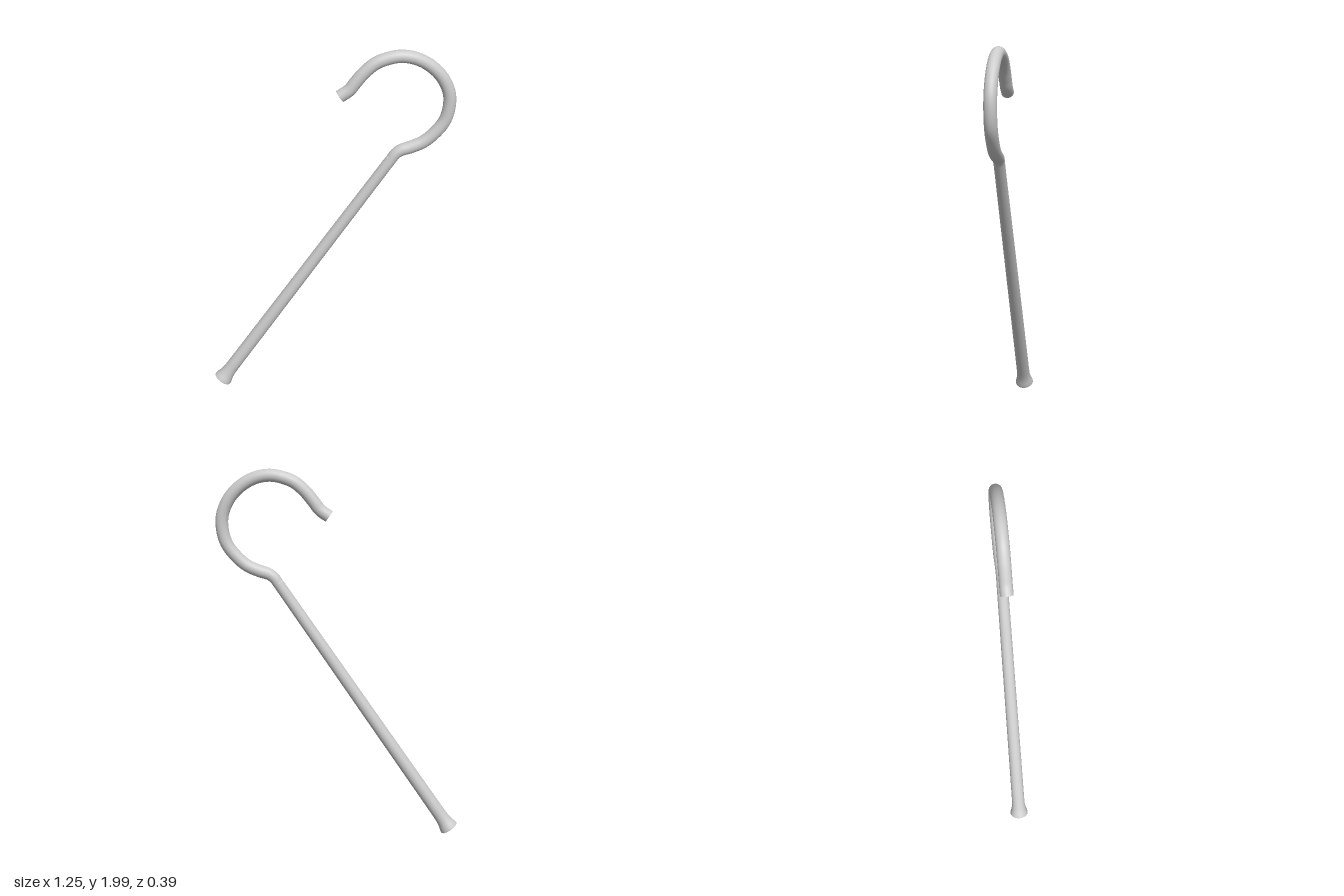
import * as THREE from 'three';

const YAW = 0.26; // the whole cane lies in one upright plane, turned about y
const material = new THREE.MeshStandardMaterial({ color: 0xcccccc });

// point of the cane's plane, given by its frontal x and height
const inPlane = (x, y) => new THREE.Vector3(x / Math.cos(YAW), y, 0);

function addMesh(parent, name, geometry) {
  const mesh = new THREE.Mesh(geometry, material);
  mesh.name = name;
  parent.add(mesh);
  return mesh;
}

// turns a mesh so that its local axis follows a direction
function aim(mesh, position, axis, direction) {
  mesh.position.copy(position);
  mesh.quaternion.setFromUnitVectors(axis, direction);
}

export function createModel() {
  const group = new THREE.Group();
  group.name = 'crookedCane';
  const cane = new THREE.Group();
  cane.name = 'cane';
  cane.rotation.y = YAW;
  cane.position.z = -0.008;
  group.add(cane);

  const up = new THREE.Vector3(0, 1, 0);
  const foot = inPlane(-0.585, 0.033);
  const neck = inPlane(0.309, 1.397);
  const along = neck.clone().sub(foot);
  const length = along.length();
  along.normalize();

  // tapering shaft with a flared foot
  const flare = [[0.05, 0], [0.05, 0.008], [0.045, 0.025], [0.04, 0.045], [0.037, 0.07], [0.036, 0.1], [0.029, length]];
  const profile = flare.map(([r, y]) => new THREE.Vector2(r, y));
  const shaft = addMesh(cane, 'shaft', new THREE.LatheGeometry(profile, 32));
  aim(shaft, foot, up, along);

  // flat sole
  const sole = addMesh(cane, 'sole', new THREE.CircleGeometry(0.05, 32));
  aim(sole, foot, new THREE.Vector3(0, 0, 1), along.clone().negate());

  // crook: bends out of the shaft, sweeps round and curls up at the tip
  const path = new THREE.CatmullRomCurve3([
    [0.309, 1.397], [0.331, 1.428], [0.357, 1.447], [0.405, 1.463], [0.468, 1.492],
    [0.526, 1.545], [0.569, 1.608], [0.588, 1.683], [0.585, 1.762], [0.548, 1.847],
    [0.484, 1.915], [0.41, 1.955], [0.341, 1.966], [0.278, 1.955], [0.22, 1.93],
    [0.167, 1.883], [0.125, 1.83], [0.095, 1.79], [0.05, 1.757],
  ].map(([x, y]) => inPlane(x, y)));
  const steps = 140, sides = 32, radius = 0.033;
  const tube = new THREE.TubeGeometry(path, steps, radius, sides);

  // narrow the start of the crook to the width of the shaft
  const position = tube.attributes.position;
  const vertex = new THREE.Vector3();
  for (let i = 0; i <= steps; i++) {
    const centre = path.getPointAt(i / steps);
    const scale = THREE.MathUtils.lerp(0.029 / radius, 1, THREE.MathUtils.smoothstep(i / steps, 0, 0.1));
    for (let j = 0; j <= sides; j++) {
      const k = i * (sides + 1) + j;
      vertex.fromBufferAttribute(position, k).sub(centre).multiplyScalar(scale).add(centre);
      position.setXYZ(k, vertex.x, vertex.y, vertex.z);
    }
  }
  addMesh(cane, 'crook', tube);

  // flat end of the crook
  const tip = addMesh(cane, 'crookEnd', new THREE.CircleGeometry(radius, sides));
  aim(tip, path.getPointAt(1), new THREE.Vector3(0, 0, 1), path.getTangentAt(1));

  return group;
}
